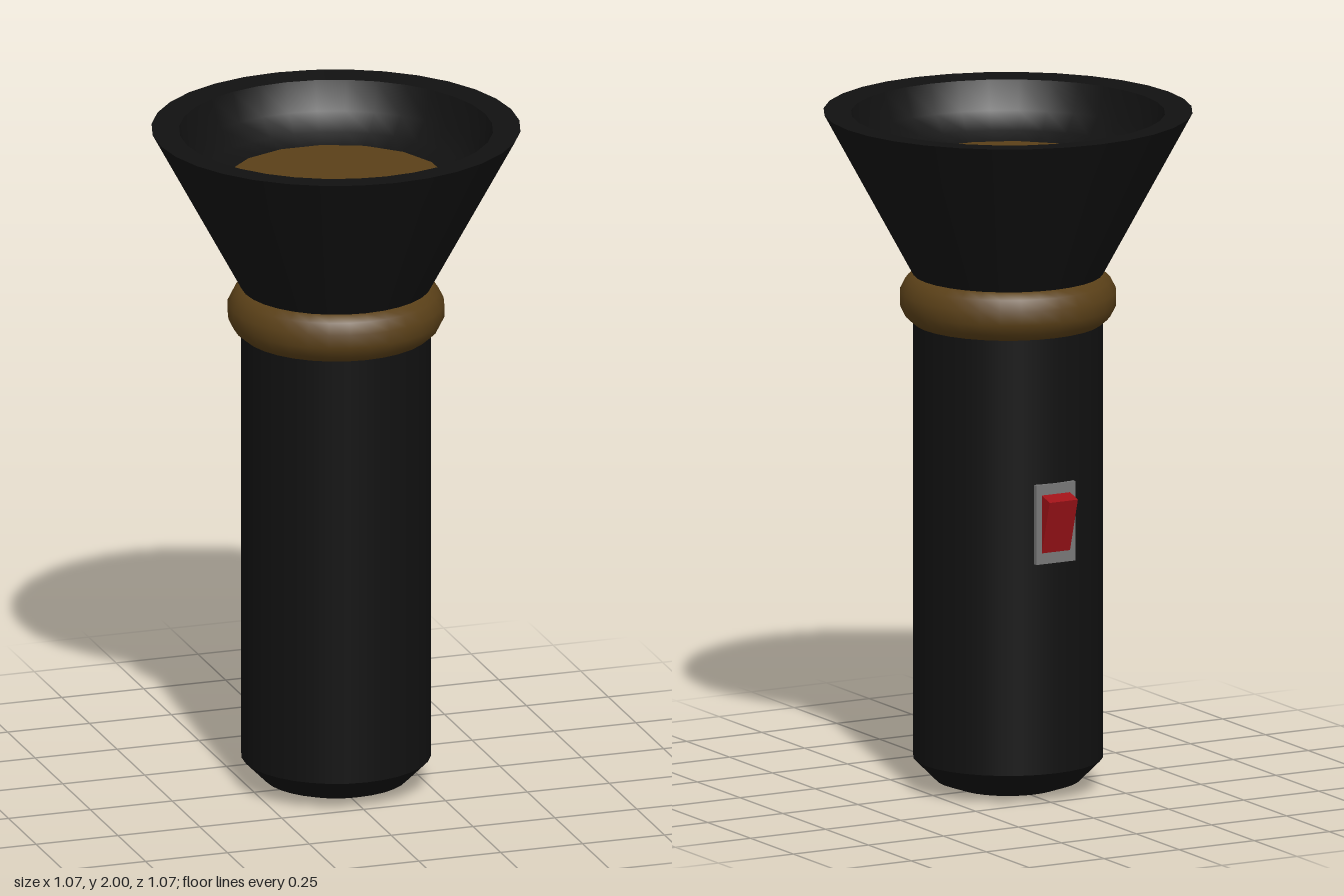
import * as THREE from 'three';

const SEGMENTS = 32;
const material = (color, side = THREE.FrontSide) => new THREE.MeshStandardMaterial({ color, side });

export function createModel() {
  const group = new THREE.Group();
  const black = material(0x111111);
  const gold = material(0x5a4018);
  const grey = material(0x777777);
  const red = material(0xa01318);

  const add = (name, geometry, mat) => {
    const mesh = new THREE.Mesh(geometry, mat);
    mesh.name = name;
    group.add(mesh);
    return mesh;
  };
  const lathe = (name, profile, mat) =>
    add(name, new THREE.LatheGeometry(profile.map(([r, y]) => new THREE.Vector2(r, y)), SEGMENTS), mat);

  // Handle with a rounded-off base
  lathe('tailCap', [[0, 0], [0.15, 0.004], [0.21, 0.025], [0.275, 0.09]], black);
  lathe('handle', [[0.275, 0.09], [0.275, 1.45]], black);

  // Collar ring between handle and head
  lathe('collar', [[0.24, 1.375], [0.275, 1.378], [0.298, 1.398], [0.314, 1.43],
    [0.314, 1.47], [0.298, 1.502], [0.275, 1.522], [0.24, 1.525]], gold);

  // Flared head: outer cone, flat rim and inner bowl
  lathe('headCone', [[0.25, 1.474], [0.275, 1.52], [0.535, 2]], black);
  lathe('rim', [[0.535, 2], [0.455, 1.995]], black);
  lathe('headBowl', [[0.455, 1.995], [0.425, 1.91], [0.38, 1.86], [0.3, 1.835]], black);

  // Lens disc
  const lens = add('lens', new THREE.CircleGeometry(0.32, 16, Math.PI / 16), gold);
  lens.rotation.x = -Math.PI / 2;
  lens.position.y = 1.842;

  // Switch on the back: plate and wedge-shaped rocker
  const plate = add('switchPlate', new THREE.BoxGeometry(0.13, 0.235, 0.02), grey);
  plate.position.set(0, 0.832, -0.27);

  const wedge = new THREE.Shape([
    new THREE.Vector2(0.275, 0.73), new THREE.Vector2(0.326, 0.905), new THREE.Vector2(0.275, 0.92),
  ]);
  const rocker = add('switchRocker',
    new THREE.ExtrudeGeometry(wedge, { depth: 0.094, bevelEnabled: false }), red);
  rocker.rotation.y = Math.PI / 2;
  rocker.position.x = -0.047;

  return group;
}
